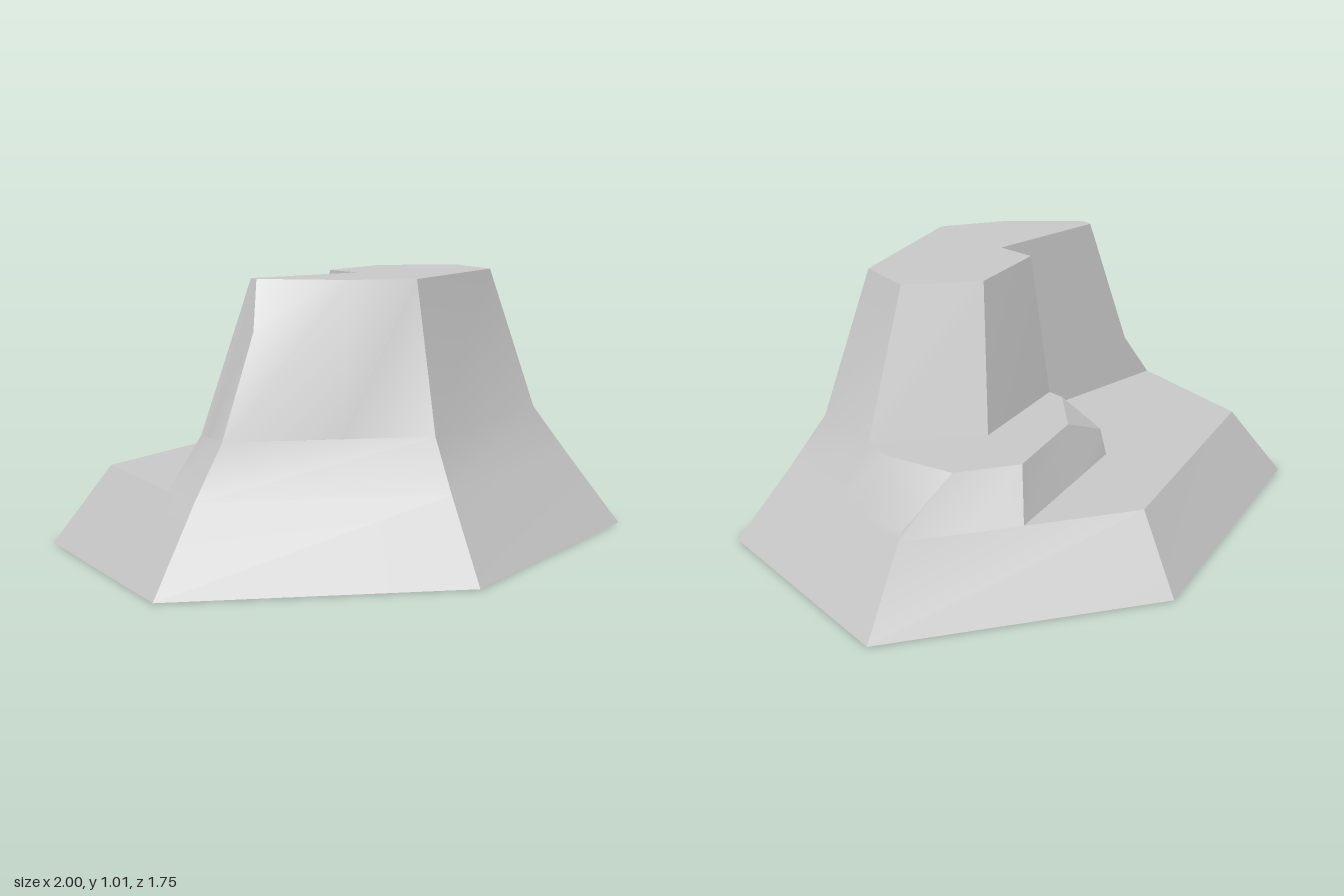
import * as THREE from 'three';
import { toCreasedNormals } from 'three/addons/utils/BufferGeometryUtils.js';

// Section points are [x, z] at the section height, or [x, z, y] where a corner is worn lower.
const lift = (loop, y) => loop.map(([x, z, h = y]) => new THREE.Vector3(x, h, z));

// Hexagonal outline: half width, front/back tip, side corner.
const hexagon = (w, tip, side) => [[0, tip], [w, side], [w, -side], [0, -tip], [-w, -side], [-w, side]];

// Sloping sides between two matching loops.
function addSides(out, lower, upper) {
  lower.forEach((a, i) => {
    const j = (i + 1) % lower.length;
    out.push(a, lower[j], upper[j], a, upper[j], upper[i]);
  });
}

// Flat polygon facing up or down.
function addFlat(out, loop, up = true) {
  const flat = loop.map((p) => new THREE.Vector2(p.x, -p.z));
  for (const [a, b, c] of THREE.ShapeUtils.triangulateShape(flat, [])) {
    const area = flat[b].clone().sub(flat[a]).cross(flat[c].clone().sub(flat[a]));
    if (area > 0 === up) out.push(loop[a], loop[b], loop[c]);
    else out.push(loop[a], loop[c], loop[b]);
  }
}

// Slanted triangle over each worn corner; returns the remaining level loop.
function addWornCorners(out, loop, y) {
  const n = loop.length;
  loop.forEach((p, i) => {
    if (p.y < y) out.push(loop[(i + n - 1) % n], p, loop[(i + 1) % n]);
  });
  return loop.filter((p) => p.y === y);
}

export function createModel() {
  const group = new THREE.Group();
  group.name = 'rockMesa';
  const lowY = 0.29, midY = 0.475, topY = 1.01;
  const tris = [];

  // Wide foot and underside
  const ground = lift(hexagon(1, 0.875, 0.44), 0);
  addSides(tris, ground, lift(hexagon(0.8, 0.705, 0.35), lowY));
  addFlat(tris, ground, false);

  // Low ledge wrapping the back
  addFlat(tris, lift([[0.4, -0.53], [0, -0.705], [-0.8, -0.35], [-0.8, 0.145],
    [-0.065, 0.135], [-0.17, -0.31]], lowY));

  // Middle step
  const midLower = [[0, 0.705], [0.8, 0.35], [0.8, 0.016], [0.8, -0.11], [0.8, -0.35],
    [0.57, -0.455], [0.4, -0.53], [0.02, -0.383], [-0.17, -0.31], [-0.125, -0.12],
    [-0.11, -0.055], [-0.065, 0.135], [-0.8, 0.145], [-0.8, 0.35]];
  const midUpper = [[0, 0.605], [0.67, 0.305], [0.67, 0.016], [0.67, -0.11], [0.78, -0.345, 0.32],
    [0.567, -0.345], [0.34, -0.445], [0.02, -0.31], [-0.16, -0.285, 0.39], [-0.11, -0.12],
    [-0.1, -0.058], [-0.055, 0.142], [-0.67, 0.148], [-0.67, 0.305]];
  const step = lift(midUpper, midY);
  addSides(tris, lift(midLower, lowY), step);
  addWornCorners(tris, step, midY);

  // Middle ledge
  const notch = [0.3, -0.198];
  addFlat(tris, lift([...midUpper.slice(2, 11).filter((p) => p.length === 2), notch], midY));

  // Tall block and plateau
  const topLower = [[0, 0.605], [0.67, 0.305], [0.67, 0.016], notch, [-0.1, -0.058],
    [-0.055, 0.142], [-0.67, 0.148], [-0.67, 0.2], [-0.67, 0.305], [-0.3, 0.47]];
  const topUpper = [[0, 0.485], [0.47, 0.28], [0.47, 0.075], [0.22, -0.075], [-0.067, 0.016],
    [-0.037, 0.155], [-0.47, 0.15], [-0.47, 0.19], [-0.535, 0.285, 0.84], [-0.23, 0.383]];
  const crown = lift(topUpper, topY);
  addSides(tris, lift(topLower, midY), crown);
  addFlat(tris, addWornCorners(tris, crown, topY));

  const geometry = toCreasedNormals(new THREE.BufferGeometry().setFromPoints(tris), 0.5);
  const rock = new THREE.Mesh(geometry, new THREE.MeshStandardMaterial({ color: 0xcccccc }));
  rock.name = 'terracedRock';
  group.add(rock);
  return group;
}
